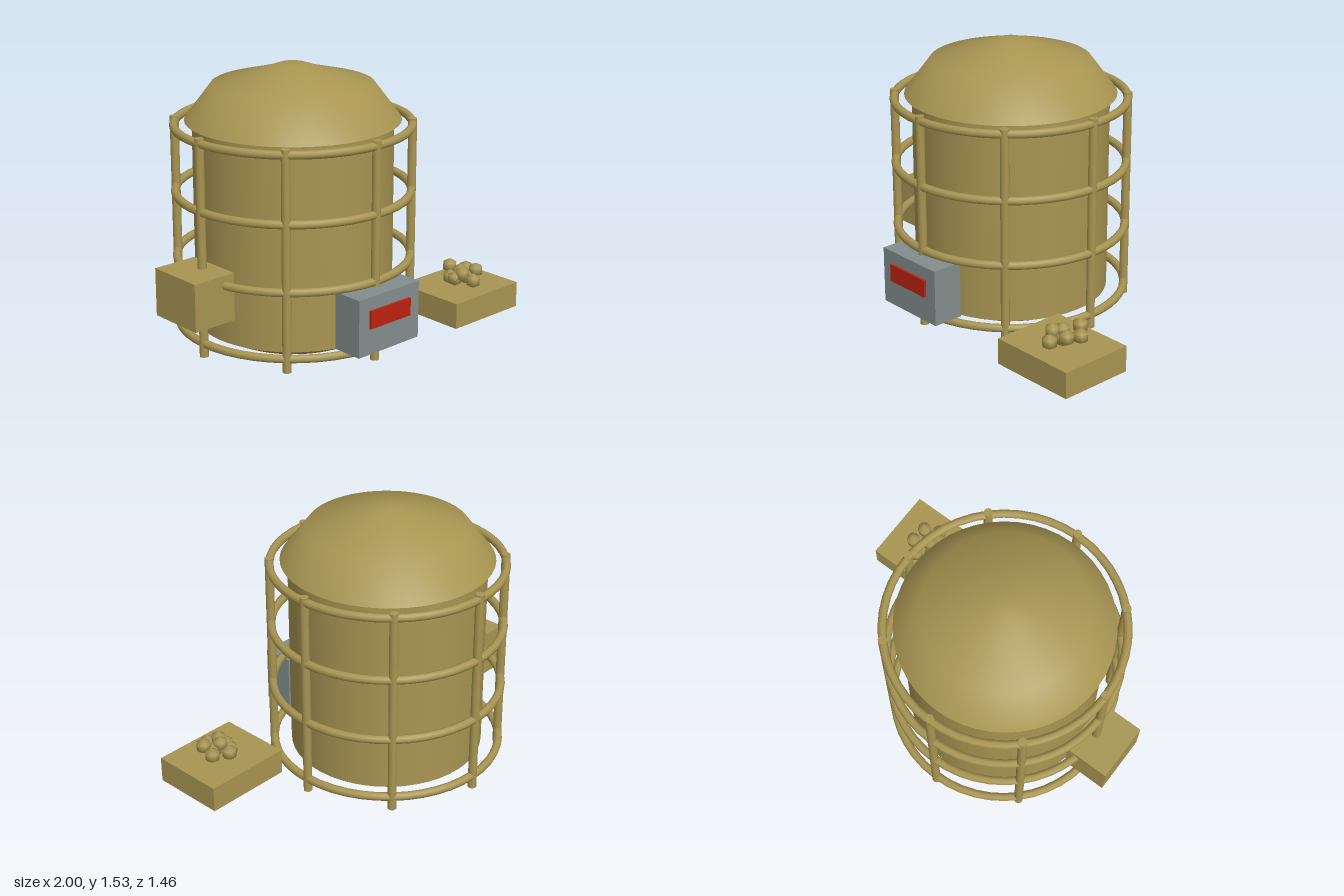
import * as THREE from 'three';

export function createModel() {
  const model = new THREE.Group();
  const tan = new THREE.MeshStandardMaterial({ name: 'tan', color: 0xa89552 });
  const grey = new THREE.MeshStandardMaterial({ name: 'grey', color: 0x838d8d });
  const red = new THREE.MeshStandardMaterial({ name: 'red', color: 0xbb2211 });

  const add = (parent, name, geometry, material, x = 0, y = 0, z = 0) => {
    const mesh = new THREE.Mesh(geometry, material);
    mesh.name = name;
    mesh.position.set(x, y, z);
    parent.add(mesh);
    return mesh;
  };
  const lathe = (points) =>
    new THREE.LatheGeometry(points.map(([r, y]) => new THREE.Vector2(r, y)), 48);
  // Box given by its minimum and maximum corners
  const box = (name, material, a, b) => add(model, name,
    new THREE.BoxGeometry(b[0] - a[0], b[1] - a[1], b[2] - a[2]), material,
    (a[0] + b[0]) / 2, (a[1] + b[1]) / 2, (a[2] + b[2]) / 2);

  // Tank: rounded base, straight wall, overhanging domed roof
  const tank = new THREE.Group();
  tank.name = 'tank';
  tank.position.set(-0.16, 0, -0.05);
  model.add(tank);
  add(tank, 'tankBase', lathe([[0, 0], [0.42, 0], [0.555, 0.07]]), tan);
  add(tank, 'tankWall', new THREE.CylinderGeometry(0.555, 0.555, 1.16, 48, 1, true), tan, 0, 0.65, 0);
  add(tank, 'roofUnderside', lathe([[0, 1.225], [0.597, 1.225]]), tan);
  add(tank, 'roof', lathe([[0.597, 1.225], [0.45, 1.42], [0.175, 1.495], [0.075, 1.53], [0, 1.53]]), tan);

  // Cage of eight posts and four hoops
  const cage = new THREE.Group();
  cage.name = 'cage';
  cage.position.copy(tank.position);
  model.add(cage);
  const postGeometry = new THREE.CylinderGeometry(0.025, 0.025, 1.23, 12);
  for (let i = 0; i < 8; i++) {
    const a = (i * Math.PI) / 4;
    add(cage, 'post', postGeometry, tan, 0.655 * Math.cos(a), 0.615, 0.655 * Math.sin(a));
  }
  const hoopGeometry = new THREE.TorusGeometry(0.655, 0.024, 8, 48).rotateX(Math.PI / 2);
  for (const y of [0.075, 0.45, 0.825, 1.2]) add(cage, 'hoop', hoopGeometry, tan, 0, y, 0);

  // Control box with its display, side box and tray
  box('controlBox', grey, [-0.38, 0.1, 0.53], [0.065, 0.425, 0.71]);
  box('display', red, [-0.305, 0.25, 0.705], [-0.01, 0.35, 0.725]);
  box('sideBox', tan, [-1, 0.24, -0.22], [-0.735, 0.51, 0.12]);
  box('tray', tan, [0.475, 0, 0.18], [0.995, 0.15, 0.62]);

  // Heap of pellets on the tray
  const pellets = new THREE.Group();
  pellets.name = 'pellets';
  model.add(pellets);
  const pelletGeometry = new THREE.SphereGeometry(0.045, 10, 3);
  const spots = [
    [0.765, 0.225, 0.295], [0.835, 0.21, 0.36], [0.82, 0.225, 0.45],
    [0.745, 0.19, 0.5], [0.71, 0.225, 0.445], [0.7, 0.19, 0.36],
    [0.74, 0.225, 0.4], [0.765, 0.19, 0.42], [0.685, 0.195, 0.41],
  ];
  for (const [x, y, z] of spots) add(pellets, 'pellet', pelletGeometry, tan, x, y, z);

  return model;
}
